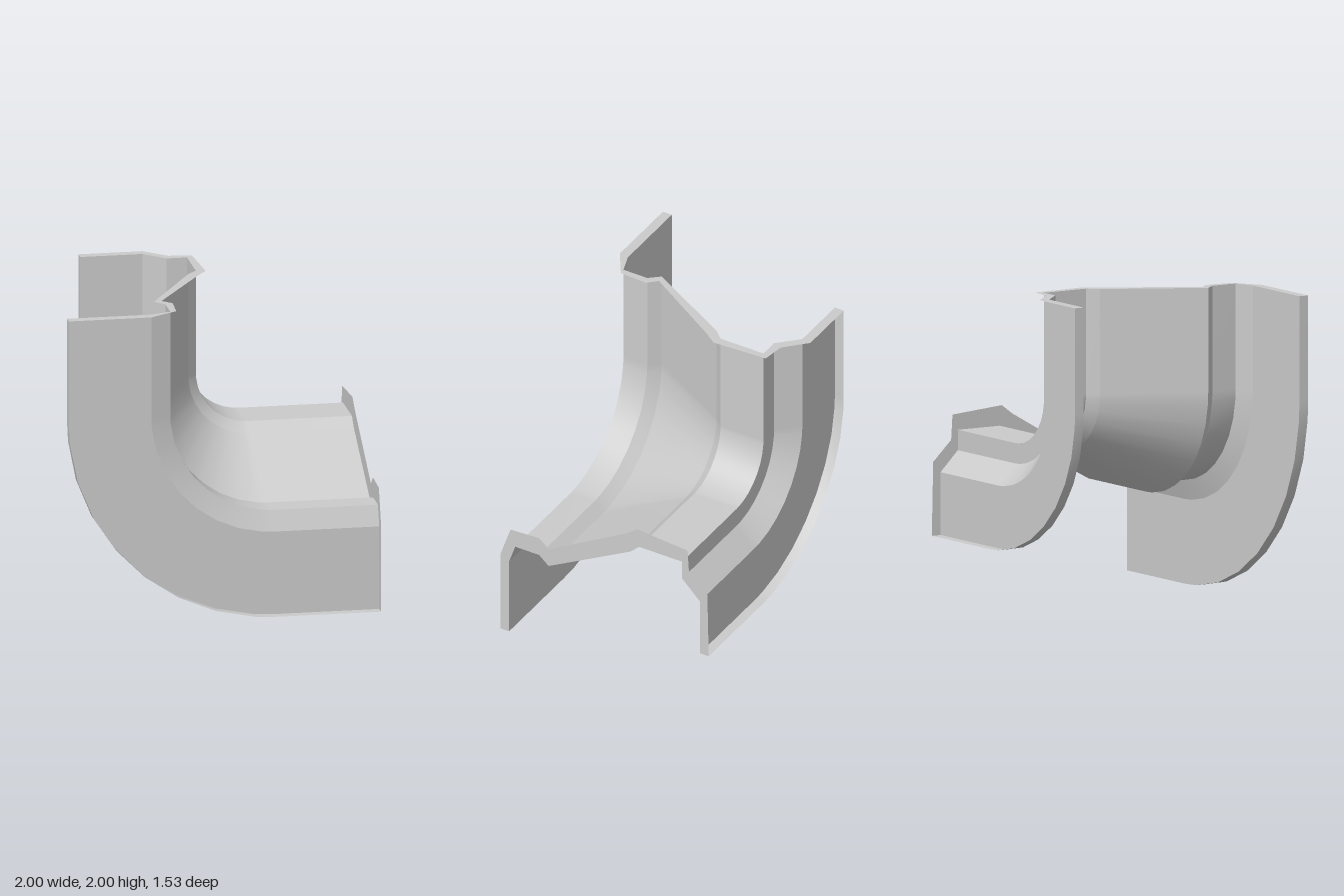
import * as THREE from 'three';
import { mergeGeometries } from 'three/addons/utils/BufferGeometryUtils.js';

// Cross-section of the channel as [z, height]; height 0 is the outer side of the bend
const SECTION = [[0.7, 0], [0.7, 0.54], [0.655, 0.67], [0.48, 0.67], [0.41, 0.61], [-0.19, 0.94],
  [-0.255, 1], [-0.57, 1], [-0.57, 0.87], [-0.7, 0.74], [-0.7, 0.34]];
// Outer outlines of the two end lips
const TOP_LIP = [[0.765, 0], [0.765, 0.53], [0.65, 0.71], [0.46, 0.72], [0.4, 0.66], [-0.14, 0.99],
  [-0.24, 1.06], [-0.61, 1.04], [-0.63, 0.89], [-0.765, 0.75], [-0.765, 0.34]];
const SIDE_LIP = [[0.765, 0], [0.765, 0.57], [0.69, 0.79], [0.48, 0.8], [0.41, 0.74], [-0.16, 1.07],
  [-0.24, 1.13], [-0.61, 1.1], [-0.62, 0.94], [-0.755, 0.81], [-0.765, 0.34]];

// Quarter bend: centre (C - 1, C), with straight runs to y = 2 and x = 1
const C = 1.33;
const ANGLES = [0, ...Array.from({ length: 8 }, (_, i) => (i + 0.5) * 11.25), 90];

// Line followed by one section point through the bend
function track([z, h]) {
  const r = C - h;
  const arc = ANGLES.map((deg) => {
    const a = THREE.MathUtils.degToRad(deg);
    return [C - 1 - r * Math.cos(a), C - r * Math.sin(a), z];
  });
  return [[h - 1, 2, z], ...arc, [1, h, z]];
}

// Ribbon of quads between two lines with the same number of points
function ribbon(a, b) {
  const geometry = new THREE.BufferGeometry();
  const index = [];
  const n = a.length;
  for (let i = 0; i < n - 1; i++) index.push(i, i + 1, n + i, i + 1, n + i + 1, n + i);
  geometry.setAttribute('position', new THREE.Float32BufferAttribute([...a, ...b].flat(), 3));
  geometry.setIndex(index);
  geometry.computeVertexNormals();
  return geometry;
}

export function createModel() {
  const group = new THREE.Group();
  group.name = 'curvedChannel';
  const material = new THREE.MeshStandardMaterial({ color: 0xcccccc, side: THREE.DoubleSide });
  const add = (name, geometry) => {
    const mesh = new THREE.Mesh(geometry, material);
    mesh.name = name;
    group.add(mesh);
  };

  // Bent sheet: one strip per section edge, smooth along the bend and sharp across it
  const strips = SECTION.slice(1).map((p, i) => ribbon(track(p), track(SECTION[i])));
  add('channelSheet', mergeGeometries(strips));

  // Narrow rims along the two free edges of the flanges
  add('frontRim', ribbon(track(SECTION[0]), track(TOP_LIP[0])));
  add('backRim', ribbon(track(TOP_LIP.at(-1)), track(SECTION.at(-1))));

  // Flat lips around both open ends
  const atTop = ([z, h]) => [h - 1, 2, z];
  const atSide = ([z, h]) => [1, h, z];
  add('topLip', ribbon(SECTION.map(atTop), TOP_LIP.map(atTop)));
  add('sideLip', ribbon(SIDE_LIP.map(atSide), SECTION.map(atSide)));
  return group;
}
